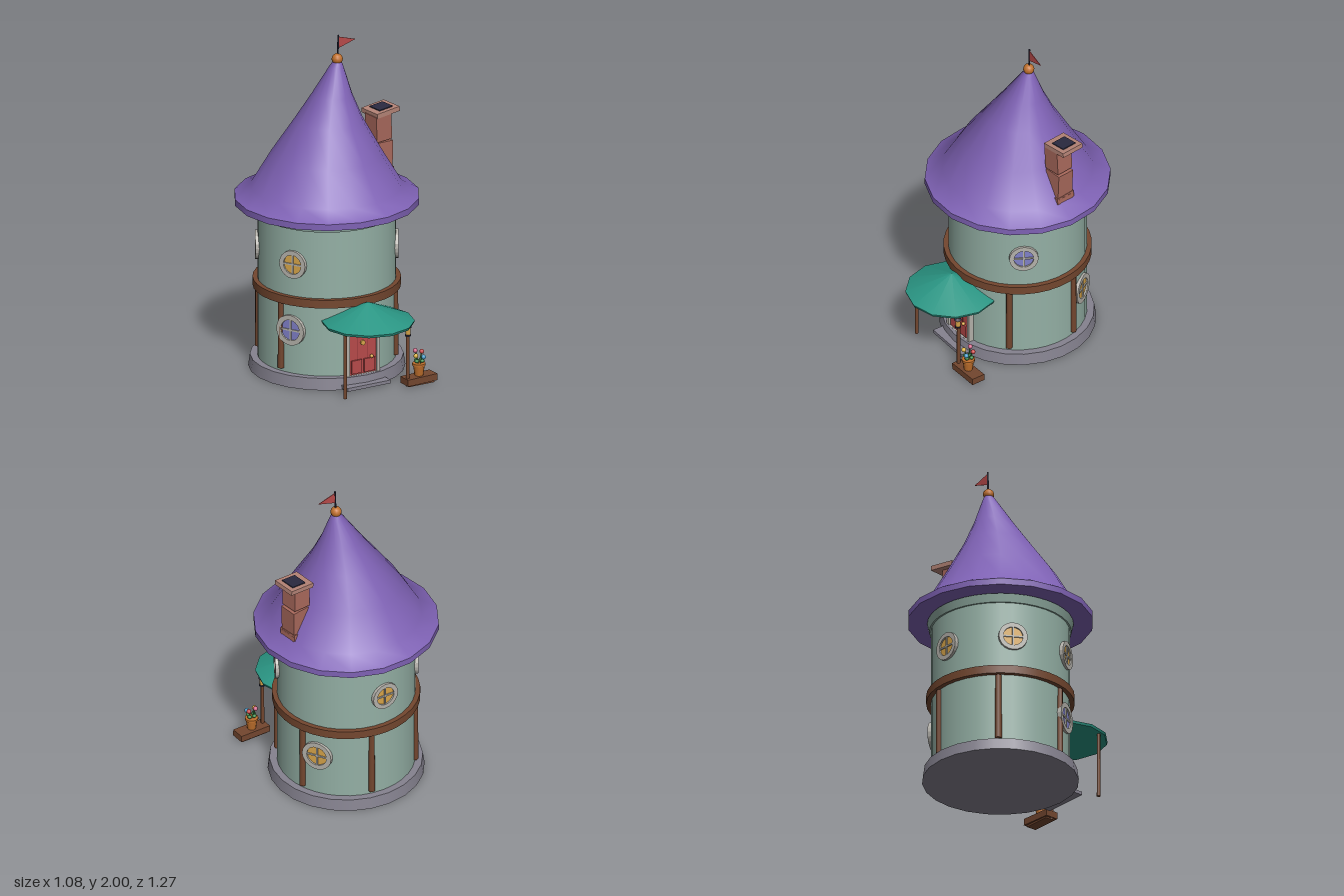
import * as THREE from 'three';

const CZ = -0.1; // z of the tower axis
const mats = {};
const mat = (color) => (mats[color] ??= new THREE.MeshStandardMaterial({ color, side: THREE.DoubleSide }));

const PURPLE = 0x7f62b5, WALL = 0x94b0a5, STONE = 0x85828f, WOOD = 0x74472f, TEAL = 0x2a9684,
  RED = 0xb84a4a, TRIM = 0xb5b2ab, BRICK = 0xa9695c, CAP = 0xb58477, DARK = 0x2b2a40,
  GOLD = 0xd9a64a, GLASS = 0x7f80c8, ORANGE = 0xc0702c;

function add(parent, name, geo, color, x = 0, y = 0, z = 0, rx = 0, ry = 0, rz = 0) {
  const m = new THREE.Mesh(geo, mat(color));
  m.name = name;
  m.position.set(x, y, z);
  m.rotation.set(rx, ry, rz);
  parent.add(m);
  return m;
}

const box = (w, h, d) => new THREE.BoxGeometry(w, h, d);
const cyl = (rt, rb, h, n = 24) => new THREE.CylinderGeometry(rt, rb, h, n);
const ball = (r) => new THREE.SphereGeometry(r, 12, 8);

function group(parent, name, x = 0, y = 0, z = 0, ry = 0) {
  const g = new THREE.Group();
  g.name = name;
  g.position.set(x, y, z);
  g.rotation.y = ry;
  parent.add(g);
  return g;
}

// Group on the tower wall, facing outward; angle in degrees from the front
function onWall(parent, name, deg, y, r) {
  const a = THREE.MathUtils.degToRad(deg);
  return group(parent, name, r * Math.sin(a), y, CZ + r * Math.cos(a), a);
}

function archShape(hw, spring, bottom) {
  const s = new THREE.Shape();
  s.moveTo(-hw, bottom);
  s.lineTo(hw, bottom);
  s.lineTo(hw, spring);
  s.absarc(0, spring, hw, 0, Math.PI, false);
  s.closePath();
  return s;
}

const extrude = (shape, depth) =>
  new THREE.ExtrudeGeometry(shape, { depth, bevelEnabled: false, curveSegments: 10 });

function roundWindow(parent, deg, y, r, color) {
  const g = onWall(parent, 'window', deg, y, 0.375);
  const ring = new THREE.Shape().absarc(0, 0, r, 0, Math.PI * 2);
  ring.holes.push(new THREE.Path().absarc(0, 0, r * 0.68, 0, Math.PI * 2, true));
  add(g, 'windowFrame', extrude(ring, 0.04), TRIM);
  add(g, 'windowGlass', cyl(r * 0.7, r * 0.7, 0.03, 20), color, 0, 0, 0.015, Math.PI / 2);
  add(g, 'windowBarUpright', box(0.01, r * 1.38, 0.01), TRIM, 0, 0, 0.032);
  add(g, 'windowBarLevel', box(r * 1.38, 0.01, 0.01), TRIM, 0, 0, 0.032);
}

function buildRoof(parent) {
  const g = group(parent, 'roof', 0, 0, CZ);
  const edge = [[0.54, 1.01], [0.54, 1.048]];
  const cone = [[0.54, 1.048], [0.44, 1.105], [0.325, 1.3], [0.2, 1.5], [0.118, 1.65], [0.042, 1.81], [0.02, 1.85]];
  const lathe = (pts) =>
    new THREE.LatheGeometry(pts.map(([r, y]) => new THREE.Vector2(r, y)), 18, Math.PI / 2);
  const top = lathe(cone);
  // The tip leans sideways, more strongly toward the top
  const p = top.attributes.position;
  for (let i = 0; i < p.count; i++) {
    const t = Math.max(0, (p.getY(i) - 1.3) / 0.55);
    p.setX(i, p.getX(i) + 0.085 * Math.pow(t, 1.5));
    p.setZ(i, p.getZ(i) - 0.02 * t);
  }
  add(g, 'roofCone', top, PURPLE);
  add(g, 'roofEdge', lathe(edge), PURPLE);
  add(g, 'roofUnderside', new THREE.CircleGeometry(0.54, 18), PURPLE, 0, 1.01, 0, Math.PI / 2);
  // Finial, pole and pennant
  add(g, 'finial', ball(0.033), ORANGE, 0.083, 1.855, -0.02);
  add(g, 'flagPole', cyl(0.005, 0.005, 0.14, 8), DARK, 0.088, 1.93, -0.02, 0, 0, -0.03);
  const flag = new THREE.Shape([[0, 0.035], [0, -0.035], [0.115, 0]].map(([x, y]) => new THREE.Vector2(x, y)));
  add(g, 'flag', extrude(flag, 0.004), RED, 0.09, 1.955, -0.022);
}

function buildChimney(parent) {
  const g = group(parent, 'chimney', 0.37, 0, -0.13, 0.12);
  // Slightly uneven stacked blocks: [bottom, height, width, x, lean]
  const blocks = [[0.99, 0.15, 0.115, 0.005, 0], [1.1, 0.045, 0.125, 0, 0.08],
    [1.13, 0.175, 0.11, 0.005, -0.03], [1.31, 0.16, 0.11, -0.003, 0.04]];
  for (const [y, h, w, x, lean] of blocks)
    add(g, 'chimneyBlock', box(w, h - 0.005, w), BRICK, x, y + h / 2, 0, lean * 0.5, 0, lean);
  const cap = group(g, 'chimneyCap', 0.025, 1.48, -0.015);
  cap.rotation.z = 0.09;
  add(cap, 'capSlab', box(0.165, 0.028, 0.15), CAP);
  add(cap, 'flueOpening', box(0.095, 0.012, 0.095), DARK, 0.005, 0.014, 0);
}

function buildDoor(parent) {
  const g = group(parent, 'door', -0.005, 0, 0.27);
  const frame = archShape(0.112, 0.345, 0.07);
  frame.holes.push(archShape(0.092, 0.345, 0.071));
  add(g, 'doorFrame', extrude(frame, 0.05), TRIM);
  add(g, 'doorLeaf', extrude(archShape(0.092, 0.345, 0.07), 0.038), RED);
  for (const s of [-1, 1]) {
    add(g, 'doorPanel', box(0.07, 0.08, 0.012), RED, s * 0.043, 0.12, 0.042);
    add(g, 'doorSeam', box(0.004, 0.32, 0.003), 0x8c3436, s * 0.032, 0.24, 0.039);
  }
  add(g, 'peephole', cyl(0.015, 0.015, 0.012, 12), GOLD, 0, 0.26, 0.042, Math.PI / 2);
  add(g, 'doorKnob', ball(0.011), GOLD, 0.055, 0.17, 0.05);
}

function buildPorch(parent) {
  const g = group(parent, 'porch');
  add(g, 'canopy', new THREE.ConeGeometry(0.27, 0.115, 12, 1, true), TEAL, 0, 0.468, 0.365);
  add(g, 'canopyRim', cyl(0.27, 0.265, 0.015, 12), TEAL, 0, 0.403, 0.365);
  for (const x of [-0.215, 0.207])
    add(g, 'canopyPost', cyl(0.01, 0.011, 0.4, 8), WOOD, x, 0.2, 0.463);
  add(g, 'doorStep', box(0.29, 0.02, 0.1), STONE, -0.008, 0.018, 0.34);
  // Lantern around the left post
  const l = group(g, 'lantern', 0.207, 0.34, 0.467);
  add(l, 'lanternGlass', cyl(0.016, 0.014, 0.045, 8), GOLD);
  add(l, 'lanternTop', cyl(0.008, 0.022, 0.014, 8), DARK, 0, 0.029, 0);
  add(l, 'lanternBase', cyl(0.019, 0.019, 0.008, 8), DARK, 0, -0.026, 0);
}

function buildPlanter(parent) {
  const g = group(parent, 'planter', 0.29, 0, 0.452);
  add(g, 'bench', box(0.2, 0.04, 0.084), WOOD, 0, 0.03, 0, 0, 0.02, 0.02);
  add(g, 'benchFoot', box(0.17, 0.02, 0.065), WOOD, 0, 0.01, 0);
  add(g, 'pot', cyl(0.034, 0.025, 0.062, 12), ORANGE, 0, 0.08, 0);
  add(g, 'potRim', cyl(0.039, 0.039, 0.014, 12), ORANGE, 0, 0.117, 0);
  // Flowers on curved stems: [x, z, height, color]
  const flowers = [[-0.012, -0.022, 0.195, 0xd0688a], [0.028, -0.014, 0.185, 0xc84848],
    [-0.028, 0.012, 0.175, 0xd8b040], [0.016, 0.026, 0.165, 0x4a9cc8]];
  for (const [x, z, y, color] of flowers) {
    const stem = new THREE.QuadraticBezierCurve3(
      new THREE.Vector3(x * 0.3, 0.115, z * 0.3), new THREE.Vector3(x * 0.4, 0.15, z * 0.4), new THREE.Vector3(x, y, z));
    add(g, 'stem', new THREE.TubeGeometry(stem, 5, 0.004, 5), 0x3d8a4a);
    add(g, 'flower', ball(0.014), color, x, y, z);
    add(g, 'leaf', ball(0.013), 0x3d8a4a, x * 0.7, 0.14, z * 0.7).scale.y = 0.8;
  }
}

export function createModel() {
  const model = new THREE.Group();
  model.name = 'towerHouse';

  // Tower body
  add(model, 'foundation', cyl(0.445, 0.455, 0.07), STONE, 0, 0.035, CZ);
  add(model, 'wall', cyl(0.402, 0.402, 0.95, 36), WALL, 0, 0.53, CZ);
  add(model, 'belt', cyl(0.43, 0.43, 0.05, 36), WOOD, 0, 0.52, CZ);
  add(model, 'cornice', cyl(0.424, 0.412, 0.05, 36), WALL, 0, 0.98, CZ);

  // Timber posts around the lower floor, leaving the doorway free
  for (let i = 0; i < 5; i++) {
    const g = onWall(model, 'timber', 48 + 60 * i, 0.29, 0.403);
    add(g, 'timberPost', cyl(0.018, 0.02, 0.4, 8), WOOD);
  }

  // Round windows
  roundWindow(model, 60, 0.74, 0.085, GLASS);
  for (const deg of [180, 240, 300]) roundWindow(model, deg, 0.74, 0.085, GOLD);
  roundWindow(model, 122, 0.335, 0.092, GOLD);
  roundWindow(model, 298, 0.335, 0.092, GLASS);

  buildRoof(model);
  buildChimney(model);
  buildDoor(model);
  buildPorch(model);
  buildPlanter(model);
  return model;
}
